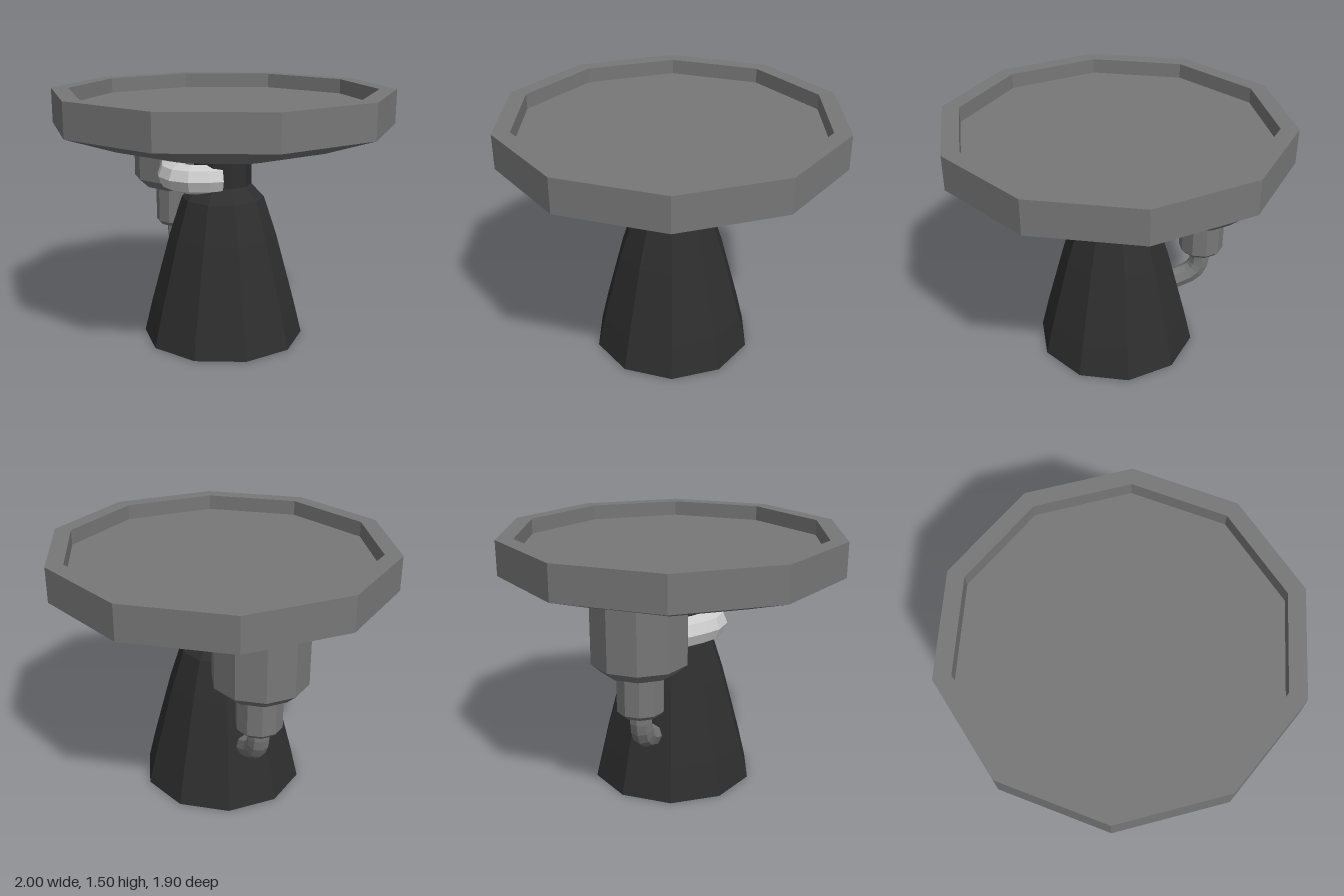
import * as THREE from 'three';

const SIDES = 10;

function paint(color) {
  return new THREE.MeshStandardMaterial({ color, flatShading: true, side: THREE.DoubleSide });
}

// Ten-sided turned part with a corner on the x axis; profile is [radius, y] pairs from bottom to top
function turned(name, profile, material) {
  const points = profile.map(([r, y]) => new THREE.Vector2(r, y));
  const mesh = new THREE.Mesh(new THREE.LatheGeometry(points, SIDES, Math.PI / 2), material);
  mesh.name = name;
  return mesh;
}

// Faceted pipe through a few points
function pipe(name, points, radius, steps, sides, material) {
  const curve = new THREE.CatmullRomCurve3(points.map((p) => new THREE.Vector3(...p)), false, 'centripetal');
  const mesh = new THREE.Mesh(new THREE.TubeGeometry(curve, steps, radius, sides), material);
  mesh.name = name;
  return mesh;
}

export function createModel() {
  const group = new THREE.Group();
  group.name = 'pedestalBasin';
  const grey = paint(0x777777);
  const dark = paint(0x2e2e2e);
  const light = paint(0xcccccc);

  // Shallow basin with a raised rim
  group.add(turned('basin', [
    [0, 1.1], [0.17, 1.1], [0.53, 1.16], [0.7, 1.2], [1, 1.3],
    [1, 1.5], [0.9, 1.5], [0.9, 1.41], [0, 1.41],
  ], grey));

  // Hollow flared pedestal with a narrow neck
  group.add(turned('pedestal', [
    [0.483, 0], [0.435, 0.2], [0.32, 0.63], [0.245, 0.86], [0.17, 0.94], [0.17, 1.11],
  ], dark));

  // Canister hanging behind the neck, with its lower collar
  const canister = turned('canister', [
    [0, 0.58], [0.11, 0.58], [0.134, 0.605], [0.134, 0.815],
    [0.21, 0.84], [0.27, 0.895], [0.27, 1.29],
  ], grey);
  canister.position.z = -0.53;
  group.add(canister);

  // Drain pipe bending forward into the pedestal
  group.add(pipe('drainPipe', [
    [0, 0.62, -0.525], [0, 0.5, -0.525], [0, 0.43, -0.49], [0, 0.36, -0.33],
  ], 0.065, 8, 8, grey));

  // Pale pipe curving round the side from the canister to the neck
  group.add(pipe('sidePipe', [
    [-0.06, 0.99, -0.42], [-0.2, 0.99, -0.25], [-0.268, 0.99, -0.1],
    [-0.22, 0.99, 0.02], [-0.07, 0.99, 0.08],
  ], 0.087, 8, 8, light));

  return group;
}
